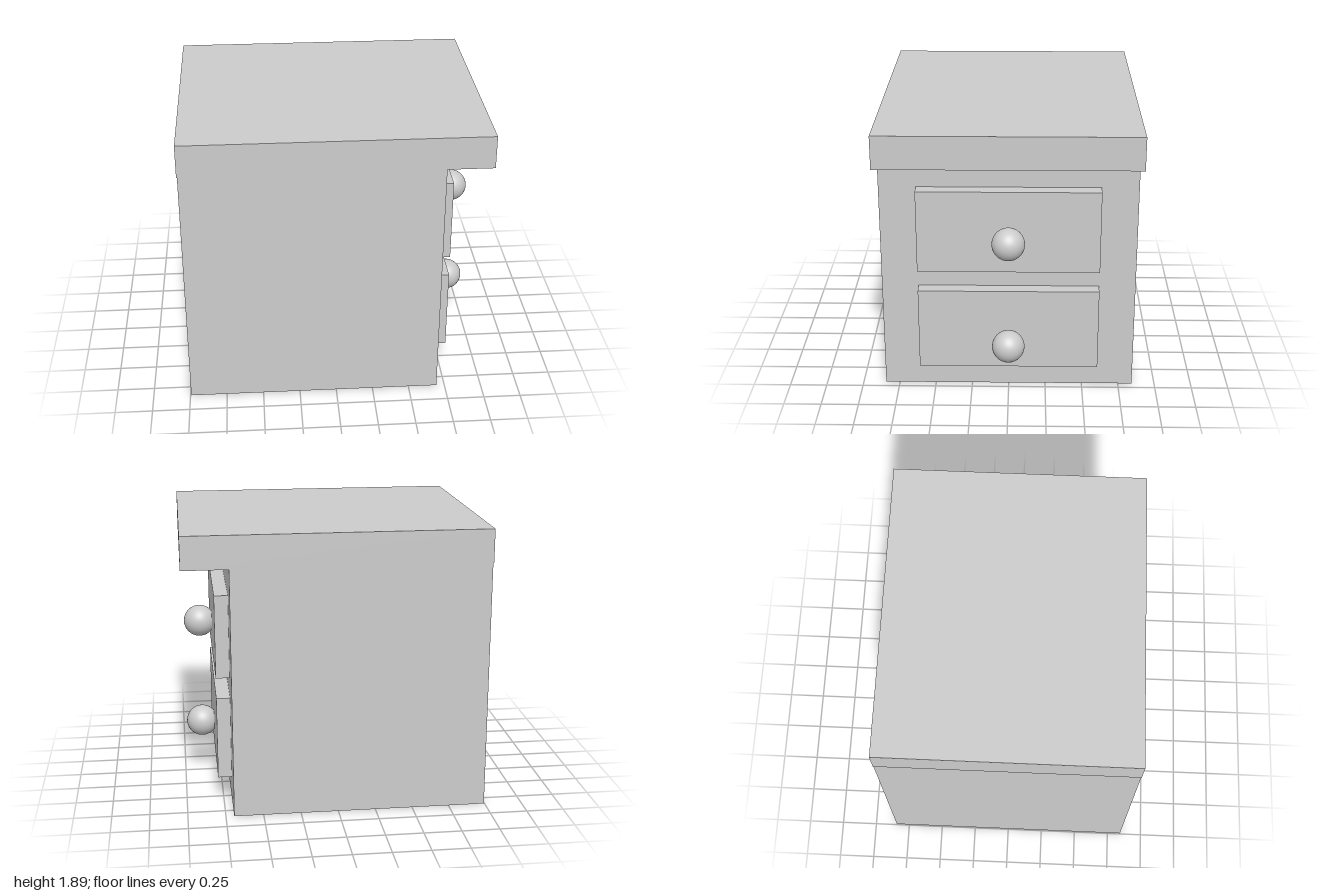
import * as THREE from 'three';

const material = new THREE.MeshStandardMaterial({ color: 0xcccccc });

function addMesh(parent, name, geometry, x, y, z = 0) {
  const mesh = new THREE.Mesh(geometry, material);
  mesh.name = name;
  mesh.position.set(x, y, z);
  parent.add(mesh);
  return mesh;
}

// Box given by its x and y limits, centred on z
function addBox(parent, name, x0, x1, y0, y1, depth) {
  return addMesh(parent, name, new THREE.BoxGeometry(x1 - x0, y1 - y0, depth), (x0 + x1) / 2, (y0 + y1) / 2);
}

export function createModel() {
  const model = new THREE.Group();
  model.name = 'nightstand';

  // Cabinet and overhanging top
  addBox(model, 'cabinet', -0.995, 0.695, 0, 1.673, 1.69);
  addBox(model, 'tableTop', -1, 1, 1.673, 1.892, 1.694);

  // Two drawers on the +x side, each with a round knob
  [['lowerDrawer', 0.18], ['upperDrawer', 0.883]].forEach(([name, base]) => {
    const drawer = new THREE.Group();
    drawer.name = name;
    addBox(drawer, 'drawerFront', 0.695, 0.787, base, base + 0.562, 1.2);
    const knobY = name === 'lowerDrawer' ? 0.38 : 1.12;
    addMesh(drawer, 'knob', new THREE.SphereGeometry(0.108, 32, 24), 0.872, knobY);
    model.add(drawer);
  });

  return model;
}
